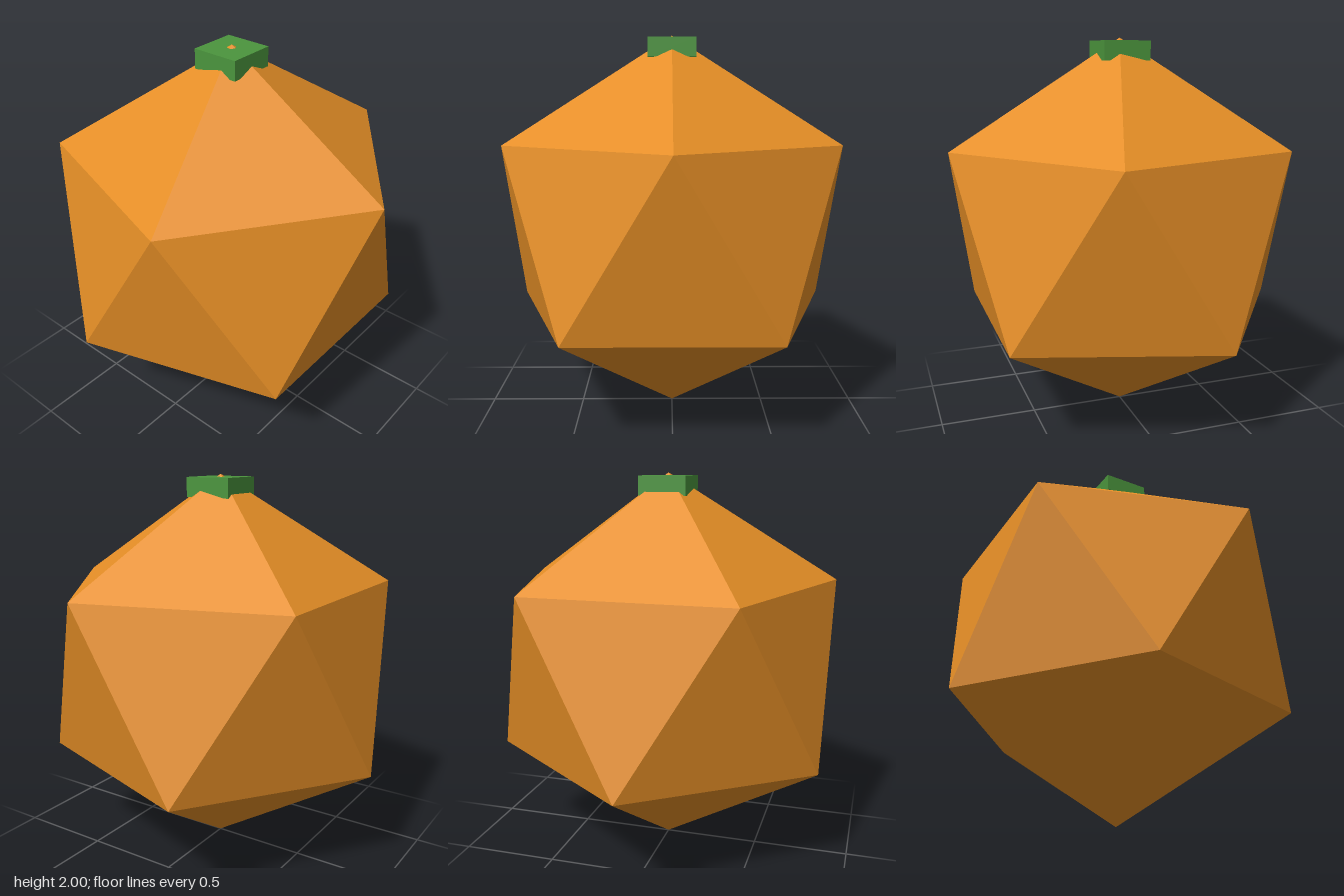
import * as THREE from 'three';

export function createModel() {
  const group = new THREE.Group();

  const orange = new THREE.MeshStandardMaterial({ color: 0xe58e26, flatShading: true });
  orange.name = 'orange skin';
  const green = new THREE.MeshStandardMaterial({ color: 0x4b953d, flatShading: true });
  green.name = 'green stem';

  // Faceted body, turned so that one corner points straight up
  const bodyGeometry = new THREE.IcosahedronGeometry(1, 0);
  const goldenRatio = (1 + Math.sqrt(5)) / 2;
  bodyGeometry.rotateZ(-Math.atan(1 / goldenRatio));
  const body = new THREE.Mesh(bodyGeometry, orange);
  body.name = 'body';
  body.position.y = 1;
  group.add(body);

  // Square cap, pierced by the tip of the body
  const cap = new THREE.Mesh(new THREE.BoxGeometry(0.247, 0.099, 0.247), green);
  cap.name = 'stemCap';
  cap.position.y = 1.936;
  group.add(cap);

  return group;
}
